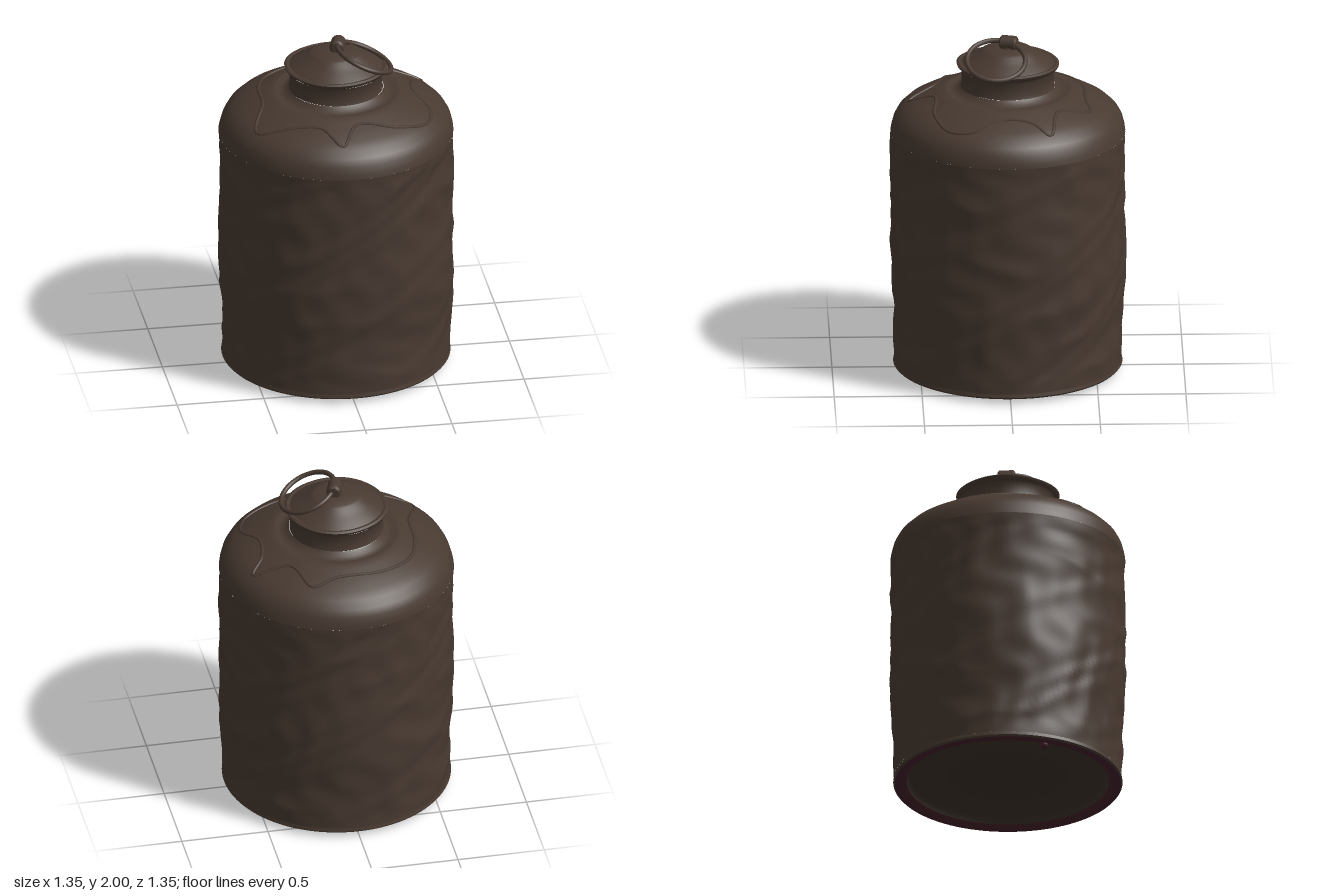
import * as THREE from 'three';
import { mergeVertices, toCreasedNormals } from 'three/addons/utils/BufferGeometryUtils.js';

const mat = (name, color) => {
  const m = new THREE.MeshStandardMaterial({ color });
  m.name = name;
  return m;
};

// Outline of the shoulder, also used to lay the ridges on it
const shoulderProfile = [
  [0.668, 1.425], [0.664, 1.45], [0.652, 1.495], [0.63, 1.535], [0.59, 1.573],
  [0.54, 1.602], [0.47, 1.633], [0.40, 1.66], [0.365, 1.674], [0.345, 1.676],
  [0.325, 1.668], [0.29, 1.676], [0.268, 1.70],
];

function shoulderHeight(r) {
  for (let i = 0; i < shoulderProfile.length - 1; i++) {
    const [r0, y0] = shoulderProfile[i], [r1, y1] = shoulderProfile[i + 1];
    if (r <= r0 && r >= r1) return y0 + (y1 - y0) * (r0 - r) / (r0 - r1);
  }
  return 1.67;
}

// Irregular hammered surface; every angular frequency is whole so it closes
function dents(a, y) {
  const w = a + 0.25 * Math.sin(3 * y + 2 * a);
  const broad = 0.5 * Math.sin(3 * w + 2.3 * y) + 0.4 * Math.sin(5 * w - 5 * y + 1);
  const folds = 1 - 2 * Math.abs(Math.sin(4 * w + 7 * y + 1.5 * Math.sin(3 * a - 4 * y)));
  const fine = Math.sin(13 * w + 9 * y + 2 * Math.sin(5 * a + 11 * y)) * Math.sin(7 * a - 17 * y);
  return 0.006 * broad + 0.004 * folds + 0.005 * fine;
}

function lathe(points, segments, rough = () => 0) {
  let g = new THREE.LatheGeometry(points.map(([r, y]) => new THREE.Vector2(r, y)), segments);
  g.deleteAttribute('uv');
  g.deleteAttribute('normal');
  const p = g.attributes.position;
  for (let i = 0; i < p.count; i++) {
    const x = p.getX(i), z = p.getZ(i), r = Math.hypot(x, z);
    if (r < 1e-4) continue;
    const k = 1 + rough(Math.atan2(z, x), p.getY(i)) / r;
    p.setX(i, x * k);
    p.setZ(i, z * k);
  }
  g = mergeVertices(g, 1e-4);
  return toCreasedNormals(g, 0.7);
}

export function createModel() {
  const group = new THREE.Group();
  const bronze = mat('dark bronze', 0x483a31);
  const shade = mat('inner bronze', 0x3d322b);
  const red = mat('dark red', 0x45212a);
  const add = (name, geometry, material) => {
    const m = new THREE.Mesh(geometry, material);
    m.name = name;
    group.add(m);
    return m;
  };

  // Dented wall
  const wallCurve = new THREE.SplineCurve([
    [0.648, 0.06], [0.652, 0.3], [0.667, 0.6], [0.667, 0.95], [0.665, 1.25], [0.668, 1.425],
  ].map(([r, y]) => new THREE.Vector2(r, y)));
  const wall = wallCurve.getPoints(70).map(v => [v.x, v.y]);
  const fade = y => Math.min(1, Math.max(0, (y - 0.06) / 0.1)) * Math.min(1, Math.max(0, (1.425 - y) / 0.08));
  add('bodyWall', lathe(wall, 140, (a, y) => dents(a, y) * fade(y)), bronze);

  // Foot, recessed underside and coloured foot rim
  add('foot', lathe([[0.643, 0.03], [0.652, 0.04], [0.648, 0.06]], 96), bronze);
  add('footRim', lathe([[0.575, 0.045], [0.59, 0.03], [0.62, 0.026], [0.643, 0.03]], 96), red);
  add('underside', lathe([[0, 0.085], [0.54, 0.085], [0.56, 0.075], [0.575, 0.045]], 96), shade);
  const drip = add('footDrip', new THREE.SphereGeometry(0.024, 12, 8), red);
  drip.position.set(-0.57, 0.026, 0.09);

  // Rounded shoulder and neck
  add('shoulder', lathe(shoulderProfile, 96, (a, y) =>
    0.003 * Math.sin(3 * a + 1) * Math.min(1, (y - 1.425) / 0.05)), bronze);
  add('neck', lathe([[0.268, 1.70], [0.263, 1.72], [0.263, 1.795], [0.272, 1.81]], 72), bronze);

  // Wavy raised line around the shoulder
  const ridge = [
    [-0.05, 0.56], [0.05, 0.42], [0.28, 0.42], [0.46, 0.34], [0.51, 0.2], [0.44, 0.02], [0.46, -0.13],
    [0.53, -0.23], [0.32, -0.28], [0.23, -0.46], [0.1, -0.44], [-0.18, -0.42], [-0.36, -0.31],
    [-0.42, -0.16], [-0.43, 0.05], [-0.5, 0.29], [-0.25, 0.38], [-0.15, 0.42],
  ];
  const flat = new THREE.CatmullRomCurve3(ridge.map(([x, z]) => new THREE.Vector3(x, 0, z)), true);
  const laid = flat.getPoints(120).slice(0, -1);
  laid.forEach(v => { v.y = shoulderHeight(Math.hypot(v.x, v.z)) - 0.004; });
  add('shoulderRidge', new THREE.TubeGeometry(new THREE.CatmullRomCurve3(laid, true), 180, 0.011, 6, true), bronze);

  // Flared rim and stepped domed lid
  add('lid', lathe([
    [0.258, 1.803], [0.272, 1.81], [0.288, 1.822], [0.292, 1.835], [0.28, 1.842], [0.262, 1.838],
    [0.24, 1.852], [0.205, 1.872], [0.17, 1.892], [0.145, 1.91], [0.13, 1.918], [0.08, 1.926], [0, 1.932],
  ], 72, (a) => 0.003 * Math.sin(4 * a)), bronze);

  // Lug on the lid: short post carrying a rolled eye
  const post = add('lugPost', new THREE.CylinderGeometry(0.034, 0.045, 0.06, 16), bronze);
  post.position.set(0.01, 1.94, 0);
  const eye = add('lugEye', lathe([
    [0, -0.05], [0.03, -0.05], [0.042, -0.04], [0.042, 0.04], [0.03, 0.05], [0, 0.05],
  ], 20), bronze);
  eye.position.set(0.012, 1.957, -0.005);
  eye.rotation.set(Math.PI / 2, 0, 0.3);

  // Loose ring leaning down over the lid
  const ring = add('ring', new THREE.TorusGeometry(0.166, 0.014, 10, 64), bronze);
  ring.position.set(0.152, 1.9, 0.07);
  ring.quaternion.setFromUnitVectors(new THREE.Vector3(0, 0, 1), new THREE.Vector3(0.41, 0.91, 0).normalize());

  return group;
}
